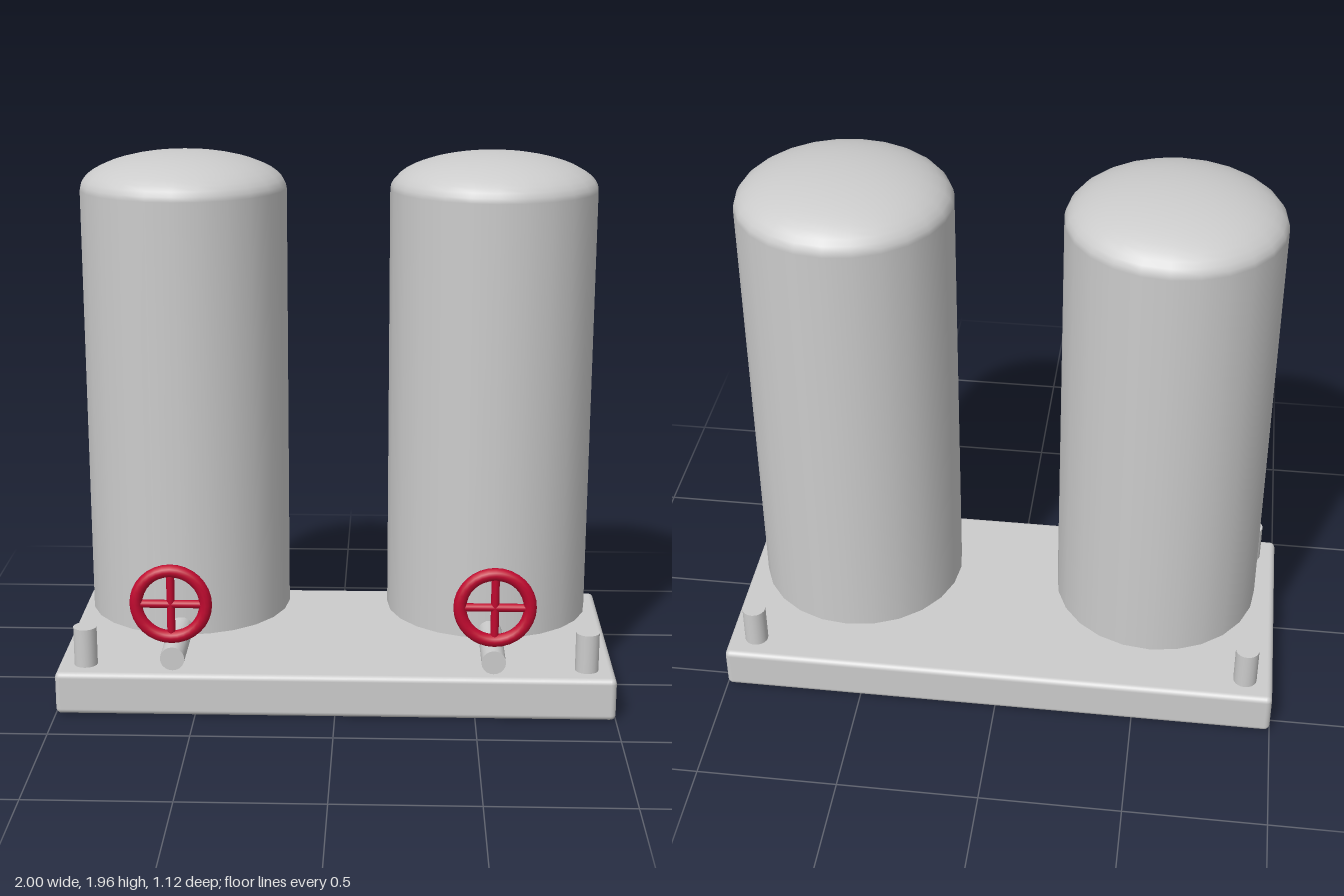
import * as THREE from 'three';
import { RoundedBoxGeometry } from 'three/addons/geometries/RoundedBoxGeometry.js';

export function createModel() {
  const model = new THREE.Group();
  const steel = new THREE.MeshStandardMaterial({ color: 0xcccccc });
  const red = new THREE.MeshStandardMaterial({ color: 0xc0082f });

  function add(parent, name, geometry, material, x, y, z) {
    const mesh = new THREE.Mesh(geometry, material);
    mesh.name = name;
    mesh.position.set(x, y, z);
    parent.add(mesh);
    return mesh;
  }

  // Base slab with softened edges
  add(model, 'base', new RoundedBoxGeometry(2, 0.157, 0.892, 3, 0.02), steel, 0, 0.0785, -0.113);

  // Corner posts, set through the slab
  const postGeometry = new THREE.CylinderGeometry(0.042, 0.042, 0.298, 20);
  for (const x of [-0.9, 0.9]) {
    for (const z of [0.235, -0.461]) add(model, 'cornerPost', postGeometry, steel, x, 0.151, z);
  }

  const tankRadius = 0.367, tankBottom = 0.28, tankTop = 1.83;
  const bodyGeometry = new THREE.CylinderGeometry(tankRadius, tankRadius, tankTop - tankBottom, 24);
  // Shallow half-ellipsoid lid
  const domeGeometry = new THREE.SphereGeometry(tankRadius, 24, 12, 0, Math.PI * 2, 0, Math.PI / 2);
  domeGeometry.scale(1, 0.132 / tankRadius, 1);
  // Outlet pipe running forward from the tank axis
  const pipeGeometry = new THREE.CylinderGeometry(0.042, 0.042, 0.65, 20).rotateX(Math.PI / 2);
  const rimGeometry = new THREE.TorusGeometry(0.119, 0.022, 12, 32);
  const spokeGeometry = new THREE.CylinderGeometry(0.014, 0.014, 0.24, 12);

  for (const x of [-0.55, 0.55]) {
    const unit = new THREE.Group();
    unit.name = 'tankUnit';
    unit.position.x = x;
    model.add(unit);

    add(unit, 'tankBody', bodyGeometry, steel, 0, (tankBottom + tankTop) / 2, -0.113);
    add(unit, 'tankDome', domeGeometry, steel, 0, tankTop, -0.113);
    add(unit, 'outletPipe', pipeGeometry, steel, 0, 0.304, 0.213);

    // Valve handwheel with crossed spokes
    const wheel = new THREE.Group();
    wheel.name = 'handwheel';
    wheel.position.set(0, 0.504, 0.536);
    unit.add(wheel);
    add(wheel, 'wheelRim', rimGeometry, red, 0, 0, 0);
    add(wheel, 'verticalSpoke', spokeGeometry, red, 0, 0, 0);
    add(wheel, 'horizontalSpoke', spokeGeometry, red, 0, 0, 0).rotation.z = Math.PI / 2;
  }

  return model;
}
